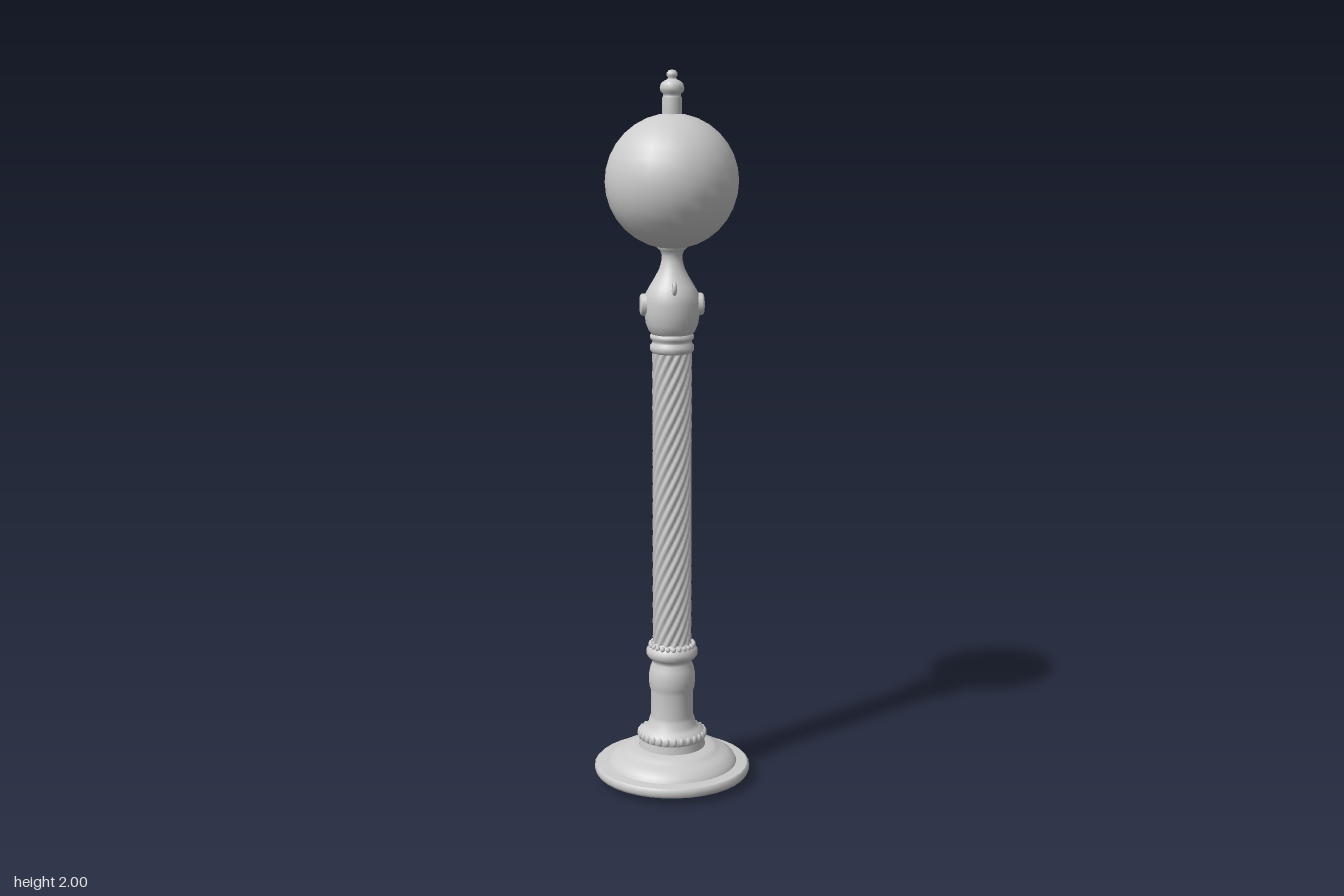
import * as THREE from 'three';

const grey = new THREE.MeshStandardMaterial({ color: 0xcccccc, side: THREE.DoubleSide });

function add(group, name, geometry, x = 0, y = 0, z = 0) {
  const mesh = new THREE.Mesh(geometry, grey);
  mesh.name = name;
  mesh.position.set(x, y, z);
  group.add(mesh);
  return mesh;
}

// Lathe from [radius, height] pairs; each pair of equal points makes a sharp edge.
function turned(points, segments = 32) {
  return new THREE.LatheGeometry(points.map(([r, y]) => new THREE.Vector2(r, y)), segments);
}

// Column with rounded strands wound around it.
function twistedShaft(radius, depth, y0, y1, strands, turn) {
  const geo = new THREE.CylinderGeometry(radius, radius, y1 - y0, strands * 6, 72, true);
  geo.translate(0, (y0 + y1) / 2, 0);
  const p = geo.attributes.position;
  for (let i = 0; i < p.count; i++) {
    const angle = Math.atan2(p.getX(i), p.getZ(i)) - turn * (p.getY(i) - y0);
    const r = radius - depth * (1 - Math.abs(Math.cos(angle * strands / 2)));
    p.setX(i, p.getX(i) * r / radius);
    p.setZ(i, p.getZ(i) * r / radius);
  }
  geo.computeVertexNormals();
  return geo;
}

// Row of small beads around the post.
function beadRing(group, name, count, ringRadius, y, size, height) {
  const ring = new THREE.Group();
  ring.name = name;
  const bead = new THREE.SphereGeometry(size, 8, 6);
  bead.scale(1, height, 1);
  for (let i = 0; i < count; i++) {
    const a = i / count * Math.PI * 2;
    add(ring, 'bead', bead, Math.sin(a) * ringRadius, y, Math.cos(a) * ringRadius);
  }
  group.add(ring);
}

export function createModel() {
  const lamp = new THREE.Group();
  lamp.name = 'lampPost';

  // Stepped foot
  add(lamp, 'foot', turned([
    [0, 0], [0.1, 0.008], [0.205, 0.018], [0.218, 0.02], [0.222, 0.028], [0.222, 0.04], [0.216, 0.046],
    [0.216, 0.046], [0.185, 0.049], [0.185, 0.049], [0.178, 0.062], [0.16, 0.075], [0.145, 0.08],
    [0.13, 0.088], [0.12, 0.095], [0.095, 0.098], [0.095, 0.098], [0.092, 0.12],
  ], 36));

  // Lower pedestal
  add(lamp, 'pedestal', turned([
    [0.092, 0.12], [0.096, 0.13], [0.092, 0.143], [0.078, 0.15], [0.068, 0.162], [0.064, 0.18],
    [0.06, 0.188], [0.06, 0.26], [0.064, 0.272], [0.066, 0.29], [0.066, 0.31], [0.062, 0.33],
    [0.056, 0.345], [0.056, 0.355], [0.066, 0.36], [0.073, 0.37], [0.073, 0.383], [0.066, 0.392],
    [0.058, 0.4], [0.048, 0.408],
  ]));
  beadRing(lamp, 'footBeads', 28, 0.092, 0.133, 0.008, 1.5);
  beadRing(lamp, 'collarBeads', 24, 0.061, 0.397, 0.007, 1.2);

  // Spiral shaft
  add(lamp, 'spiralShaft', twistedShaft(0.055, 0.007, 0.4, 1.25, 14, 9.5));

  // Collar and urn under the globe
  add(lamp, 'collar', turned([
    [0.048, 1.235], [0.056, 1.238], [0.061, 1.246], [0.061, 1.256], [0.055, 1.264], [0.054, 1.27],
    [0.06, 1.276], [0.061, 1.284], [0.055, 1.29],
  ]));
  add(lamp, 'urn', turned([
    [0.055, 1.288], [0.064, 1.298], [0.072, 1.318], [0.076, 1.345], [0.077, 1.375], [0.073, 1.4],
    [0.062, 1.42], [0.047, 1.445], [0.035, 1.468], [0.029, 1.49], [0.028, 1.505], [0.033, 1.518],
    [0.042, 1.526], [0.042, 1.54],
  ]));

  for (const side of [1, -1]) {
    // Round bosses on the sides
    const boss = add(lamp, 'sideBoss', turned([
      [0.031, 0], [0.031, 0.022], [0.028, 0.027], [0.022, 0.029], [0, 0.029],
    ], 20), side * 0.059, 1.37, 0);
    boss.rotation.z = -side * Math.PI / 2;

    // Eyelets at front and back
    const eyelet = add(lamp, 'eyelet', new THREE.TorusGeometry(0.014, 0.0055, 8, 18), 0, 1.424, side * 0.083);
    eyelet.rotation.y = Math.PI / 2;
    const stem = add(lamp, 'eyeletStem', new THREE.CylinderGeometry(0.006, 0.008, 0.03, 8), 0, 1.413, side * 0.059);
    stem.rotation.x = side * 1.1;
  }

  // Globe
  add(lamp, 'globe', new THREE.SphereGeometry(0.182, 22, 16), 0, 1.704, 0);

  // Finial
  add(lamp, 'finial', turned([
    [0.027, 1.875], [0.027, 1.925], [0.024, 1.93], [0.024, 1.936], [0.031, 1.942], [0.033, 1.952],
    [0.03, 1.964], [0.021, 1.971], [0.012, 1.975], [0.011, 1.979], [0.015, 1.984], [0.015, 1.991],
    [0.009, 1.998], [0, 2],
  ], 18));

  return lamp;
}
